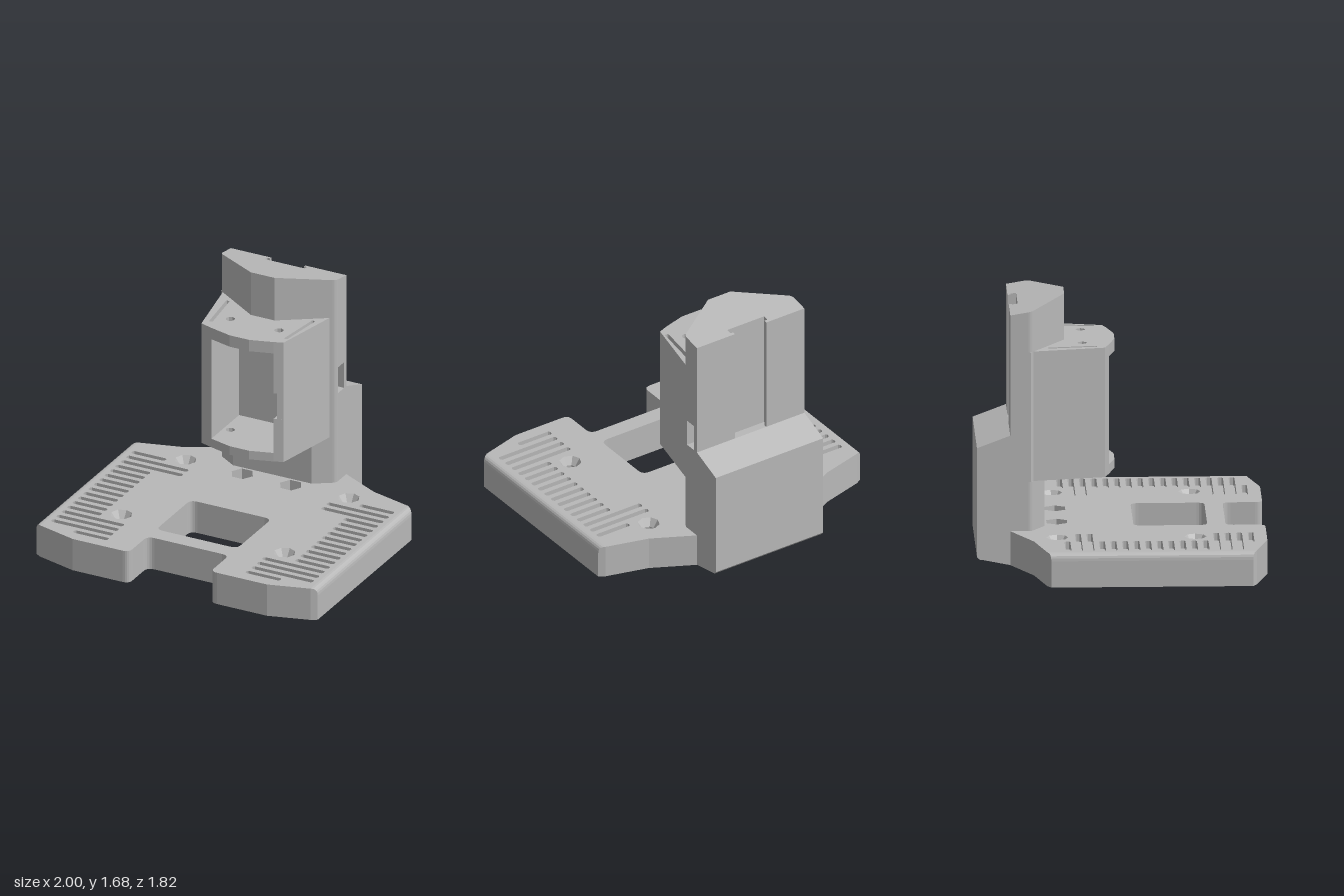
import * as THREE from 'three';

const grey = new THREE.MeshStandardMaterial({ color: 0xb8b8b8 });
grey.name = 'plain grey';

// Adds a polygon of [x, z, cornerRadius?] points to a path, with rounded corners
function trace(path, pts) {
  const v = pts.map(([x, z, r]) => ({ p: new THREE.Vector2(x, -z), r: r || 0 }));
  v.forEach(({ p, r }, i) => {
    const toward = q => p.clone().add(q.clone().sub(p).setLength(r));
    const a = toward(v[(i + v.length - 1) % v.length].p);
    const b = toward(v[(i + 1) % v.length].p);
    if (i === 0) path.moveTo(a.x, a.y); else path.lineTo(a.x, a.y);
    if (r) path.quadraticCurveTo(p.x, p.y, b.x, b.y);
  });
  path.closePath();
  return path;
}
const ring = (cx, cz, r, n) => Array.from({ length: n }, (_, i) => {
  const a = i / n * Math.PI * 2;
  return [cx + r * Math.cos(a), cz + r * Math.sin(a)];
});
// Straight slot with chamfered ends, from one end point to the other
function slot(x0, z0, x1, z1, w) {
  const d = new THREE.Vector2(x1 - x0, z1 - z0).normalize().multiplyScalar(w / 2);
  const at = (x, z, along, across) => [x + d.x * along - d.y * across, z + d.y * along + d.x * across];
  return [at(x0, z0, 0, 0.5), at(x0, z0, 0.5, 1), at(x1, z1, -0.5, 1), at(x1, z1, 0, 0.5),
    at(x1, z1, 0, -0.5), at(x1, z1, -0.5, -1), at(x0, z0, 0.5, -1), at(x0, z0, 0, -0.5)];
}

// Plan outline (clockwise from above) extruded upward from y0 to y1;
// reversing it to counter-clockwise makes the hole walls face into the holes
function layer(outline, y0, y1, holes = []) {
  const shape = trace(new THREE.Shape(), [...outline].reverse());
  const ccwHoles = holes.map(h => {
    const path = trace(new THREE.Path(), h);
    const pts = path.getPoints(5);
    return new THREE.Path(THREE.ShapeUtils.isClockWise(pts) ? pts : pts.reverse());
  });
  shape.holes.push(...ccwHoles);
  const g = new THREE.ExtrudeGeometry(shape, { depth: y1 - y0, bevelEnabled: false, curveSegments: 5 });
  return g.rotateX(-Math.PI / 2).translate(0, y0, 0);
}
// Side profile of [z, y] points extruded from x0 to x1
function sideways(profile, x0, x1) {
  const shape = new THREE.Shape(profile.map(([z, y]) => new THREE.Vector2(z, y)));
  const g = new THREE.ExtrudeGeometry(shape, { depth: x1 - x0, bevelEnabled: false });
  return g.rotateY(-Math.PI / 2).translate(x1, 0, 0);
}
function add(parent, name, geometry) {
  const m = new THREE.Mesh(geometry, grey);
  m.name = name;
  parent.add(m);
}
function section(parent, name) {
  const g = new THREE.Group();
  g.name = name;
  parent.add(g);
  return g;
}
const mirrored = half => [...half, ...half.map(([x, ...rest]) => [-x, ...rest]).reverse()];

function buildBase(root) {
  const base = section(root, 'base');
  const outline = mirrored([[0.41, -0.70], [0.68, -0.56], [0.96, -0.485], [0.96, 0.835],
    [0.69, 0.91], [0.29, 0.91, 0.045], [0.29, 0.66, 0.05]]);
  const through = [mirrored([[0.288, 0.08, 0.05], [0.288, 0.545, 0.05]])];
  const screws = [];
  for (const s of [-1, 1]) {
    through.push(ring(s * 0.172, -0.4, 0.075, 6));
    for (const z of [-0.41, 0.46]) screws.push([s * 0.58, z]);
  }
  const bores = screws.map(([x, z]) => ring(x, z, 0.037, 8));
  const sinks = screws.map(([x, z]) => ring(x, z, 0.07, 8));

  // Vent slots in the top, long rails in the underside
  const vents = [], rails = [];
  for (const s of [-1, 1]) {
    for (let i = 0; i < 16; i++) {
      const z = -0.35 + i * 0.0725;
      const long = i === 1 || i === 2 || i >= 13;
      vents.push(slot(s * (long ? 0.495 : 0.69), z, s * 0.93, z, 0.037));
    }
    vents.push(slot(s * 0.49, 0.81, s * 0.735, 0.81, 0.035));
    for (const x of [0.9, 0.82, 0.68]) rails.push(slot(s * x, -0.4, s * x, 0.78, 0.024));
  }
  add(base, 'underside', layer(outline, 0, 0.03, [...through, ...bores, ...rails]));
  add(base, 'plate', layer(outline, 0.03, 0.17, [...through, ...bores]));
  add(base, 'ventedTop', layer(outline, 0.17, 0.22, [...through, ...sinks, ...vents]));

  // Countersinks: open cones seen from inside, so their faces are reversed
  screws.forEach(([x, z]) => {
    const cone = new THREE.CylinderGeometry(0.07, 0.037, 0.05, 8, 1, true).toNonIndexed();
    cone.rotateY(Math.PI / 2);
    const p = cone.attributes.position;
    for (let i = 0; i < p.count; i += 3) {
      const a = new THREE.Vector3().fromBufferAttribute(p, i);
      const b = new THREE.Vector3().fromBufferAttribute(p, i + 1);
      p.setXYZ(i, b.x, b.y, b.z);
      p.setXYZ(i + 1, a.x, a.y, a.z);
    }
    cone.computeVertexNormals();
    add(base, 'countersink', cone.translate(x, 0.195, z));
  });

  // Rounded side edges, tapering at both ends
  for (const s of [-1, 1]) {
    const shape = new THREE.Shape();
    shape.moveTo(0.96 * s, 0);
    shape.lineTo(s, 0);
    shape.lineTo(s, 0.17);
    shape.quadraticCurveTo(s, 0.22, 0.96 * s, 0.22);
    const g = new THREE.ExtrudeGeometry(shape, { depth: 1.32, bevelEnabled: false, curveSegments: 5 });
    g.translate(0, 0, -0.485);
    const p = g.attributes.position;
    for (let i = 0; i < p.count; i++) {
      const z = p.getZ(i), inset = (Math.abs(p.getX(i)) - 0.96) * 0.6;
      p.setZ(i, z < 0 ? z + inset : z - inset);
    }
    g.computeVertexNormals();
    add(base, 'roundedSide', g);
  }
}

function buildColumn(root) {
  const column = section(root, 'column');
  const groove = [[-0.12, -0.70], [-0.12, -0.68], [-0.14, -0.68], [-0.14, -0.645],
    [0.14, -0.645], [0.14, -0.68], [0.12, -0.68], [0.12, -0.70]];
  const foot = mirrored([[0.41, -0.70], [0.41, -0.565, 0.025], [0.28, -0.48]]);
  add(column, 'lowerColumn', layer(foot, 0.22, 0.54));

  // Sloped top with a rail groove down the back
  const upper = mirrored([[0.41, -0.70], [0.41, -0.565, 0.025], [0.085, -0.35]]);
  const top = layer([...upper, ...groove], 1.38, 1.68);
  const p = top.attributes.position;
  for (let i = 0; i < p.count; i++) {
    if (p.getY(i) > 1.5) p.setY(i, 1.62 + (p.getZ(i) + 0.70) * 0.17);
  }
  top.computeVertexNormals();
  add(column, 'upperColumn', top);

  // Holder: floor, walls with a side cable channel, and roof
  const holder = section(root, 'holder');
  const right = [[0.41, -0.70], [0.41, -0.565, 0.025], [0.373, -0.541], [0.28, -0.10]];
  const left = [[-0.305, -0.10], [-0.39, -0.552], [-0.41, -0.57], [-0.41, -0.70]];
  const lip = [[0.22, -0.077], [0.07, -0.033], [-0.07, -0.033], [-0.22, -0.073]];
  const cavity = [[0.22, -0.077], [0.22, -0.45], [-0.22, -0.45], [-0.22, -0.073]];
  const pins = [-1, 1].map(s => ring(s * 0.173, -0.24, 0.03, 8));
  const keys = [slot(0.305, -0.46, 0.265, -0.15, 0.024), slot(-0.305, -0.46, -0.265, -0.15, 0.024)];
  const walls = [...right, ...cavity, ...left];
  add(holder, 'holderFloor', layer([...right, ...lip, ...left], 0.54, 0.60, pins));
  add(holder, 'holderWalls', layer(walls, 0.60, 0.84));
  add(holder, 'channelBack', layer([[0.41, -0.70], [0.41, -0.67], [0.15, -0.67], [0.15, -0.45],
    ...cavity.slice(2), ...left, ...groove], 0.84, 1.02));
  add(holder, 'channelFront', layer([[0.41, -0.59], ...right.slice(1), [0.24, -0.085], [0.24, -0.59]],
    0.84, 1.02));
  add(holder, 'holderWalls', layer([...walls, ...groove], 1.02, 1.30));
  add(holder, 'holderRoof', layer([...right, ...lip, ...left, ...groove], 1.30, 1.38, [...pins, ...keys]));
}

function buildBackBox(root) {
  const box = section(root, 'backBox');
  const body = [[-0.70, 0.84], [-0.70, 0.035], [-0.875, 0.07], [-0.875, 0.035],
    [-0.895, 0.037], [-0.91, 0.055], [-0.91, 0.76]];
  add(box, 'backBody', sideways(body, -0.41, 0.41));
  // Ribs between the vent gaps underneath
  const rib = [[-0.70, 0.04], [-0.70, 0], [-0.875, 0.035], [-0.875, 0.075]];
  const n = 15, pitch = 0.82 / n;
  for (let i = 0; i < n; i++) {
    const x = -0.41 + i * pitch + pitch * 0.2;
    add(box, 'ventRib', sideways(rib, i ? x : -0.41, i < n - 1 ? x + pitch * 0.6 : 0.41));
  }
}

export function createModel() {
  const root = new THREE.Group();
  root.name = 'standWithHolder';
  buildBase(root);
  buildColumn(root);
  buildBackBox(root);
  return root;
}
